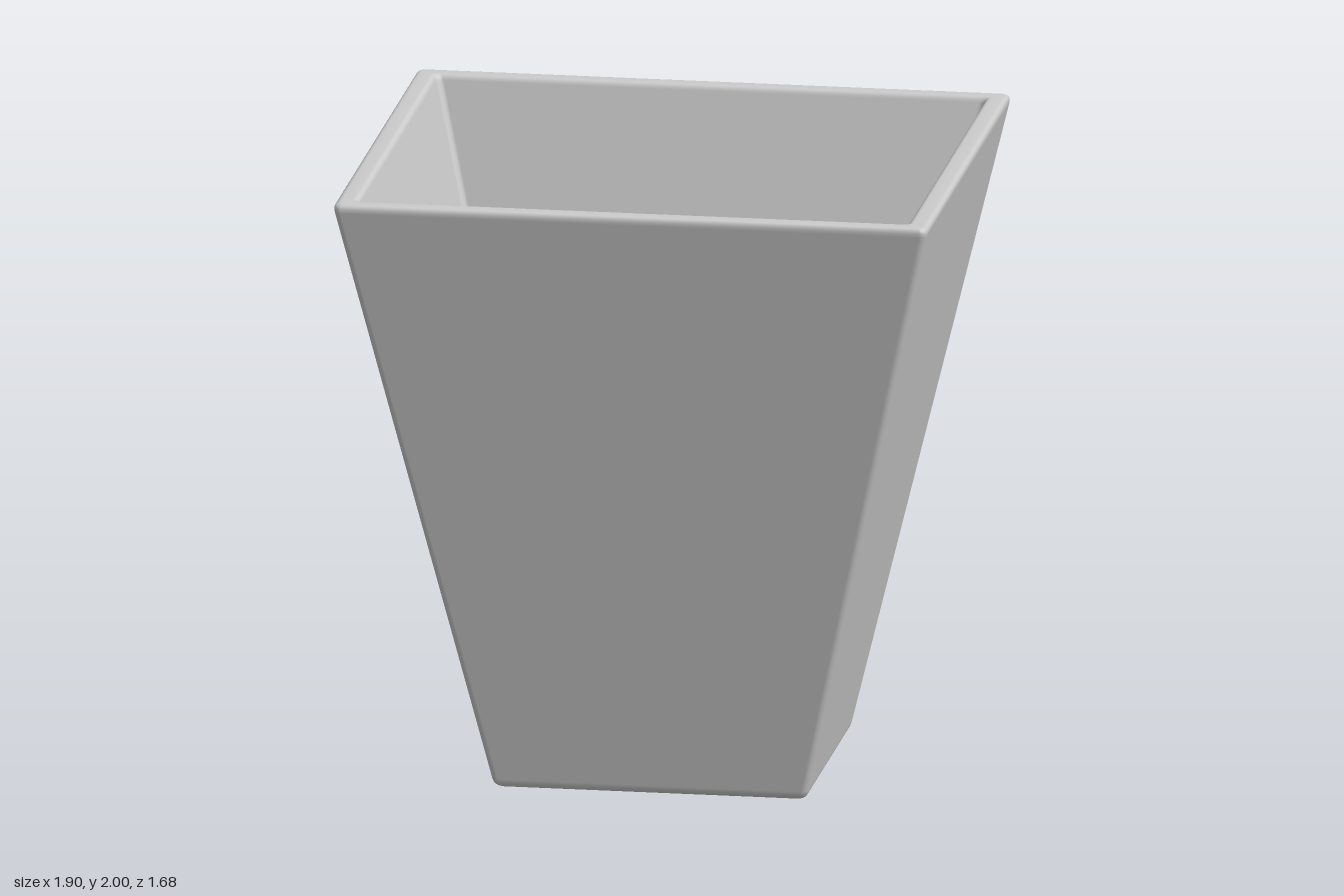
import * as THREE from 'three';

// Rounded rectangle ring, anticlockwise seen from above
function ring(hx, hz, y, radius, steps) {
  const r = Math.min(radius, hx, hz);
  const points = [];
  for (let corner = 0; corner < 4; corner++) {
    const sx = corner === 0 || corner === 3 ? 1 : -1;
    const sz = corner < 2 ? -1 : 1;
    for (let i = 0; i <= steps; i++) {
      const a = (corner + i / steps) * Math.PI / 2;
      points.push(sx * (hx - r) + r * Math.cos(a), y, sz * (hz - r) - r * Math.sin(a));
    }
  }
  return points;
}

// Replace each inner corner of the profile by a small curve
function roundProfile(corners, bevels, steps) {
  const out = [corners[0]];
  for (let i = 1; i < corners.length - 1; i++) {
    const p = corners[i];
    const towards = (q) => p.clone().add(q.clone().sub(p).setLength(bevels[i - 1]));
    const curve = new THREE.QuadraticBezierCurve3(towards(corners[i - 1]), p, towards(corners[i + 1]));
    out.push(...curve.getPoints(steps));
  }
  out.push(corners[corners.length - 1]);
  return out;
}

// Skin the rings in order
function loft(profile, radius, steps) {
  const n = 4 * (steps + 1);
  const positions = [];
  const index = [];
  for (const p of profile) positions.push(...ring(p.x, p.z, p.y, radius, steps));
  for (let j = 0; j < profile.length - 1; j++) {
    for (let i = 0; i < n; i++) {
      const a = j * n + i;
      const b = j * n + (i + 1) % n;
      if (j > 0) index.push(a, b, b + n);
      if (j < profile.length - 2) index.push(a, b + n, a + n);
    }
  }
  // Close the first and last rings onto their centre points
  for (let i = 0; i < n; i++) index.push(i, n + (i + 1) % n, n + i);
  const geometry = new THREE.BufferGeometry();
  geometry.setAttribute('position', new THREE.Float32BufferAttribute(positions, 3));
  geometry.setIndex(index);
  geometry.computeVertexNormals();
  return geometry;
}

export function createModel() {
  const group = new THREE.Group();
  group.name = 'taperedPlanter';

  // Half width, height and half depth: up the outside, over the rim, down the inside
  const profile = roundProfile([
    new THREE.Vector3(0, 0, 0),
    new THREE.Vector3(0.502, 0, 0.443),
    new THREE.Vector3(0.957, 2, 0.847),
    new THREE.Vector3(0.885, 2, 0.783),
    new THREE.Vector3(0.416, 0.06, 0.367),
    new THREE.Vector3(0, 0.06, 0),
  ], [0.03, 0.03, 0.02, 0.015], 4);

  const shell = new THREE.Mesh(
    loft(profile, 0.022, 4),
    new THREE.MeshStandardMaterial({ color: 0xcccccc }),
  );
  shell.name = 'planterShell';
  group.add(shell);
  return group;
}
